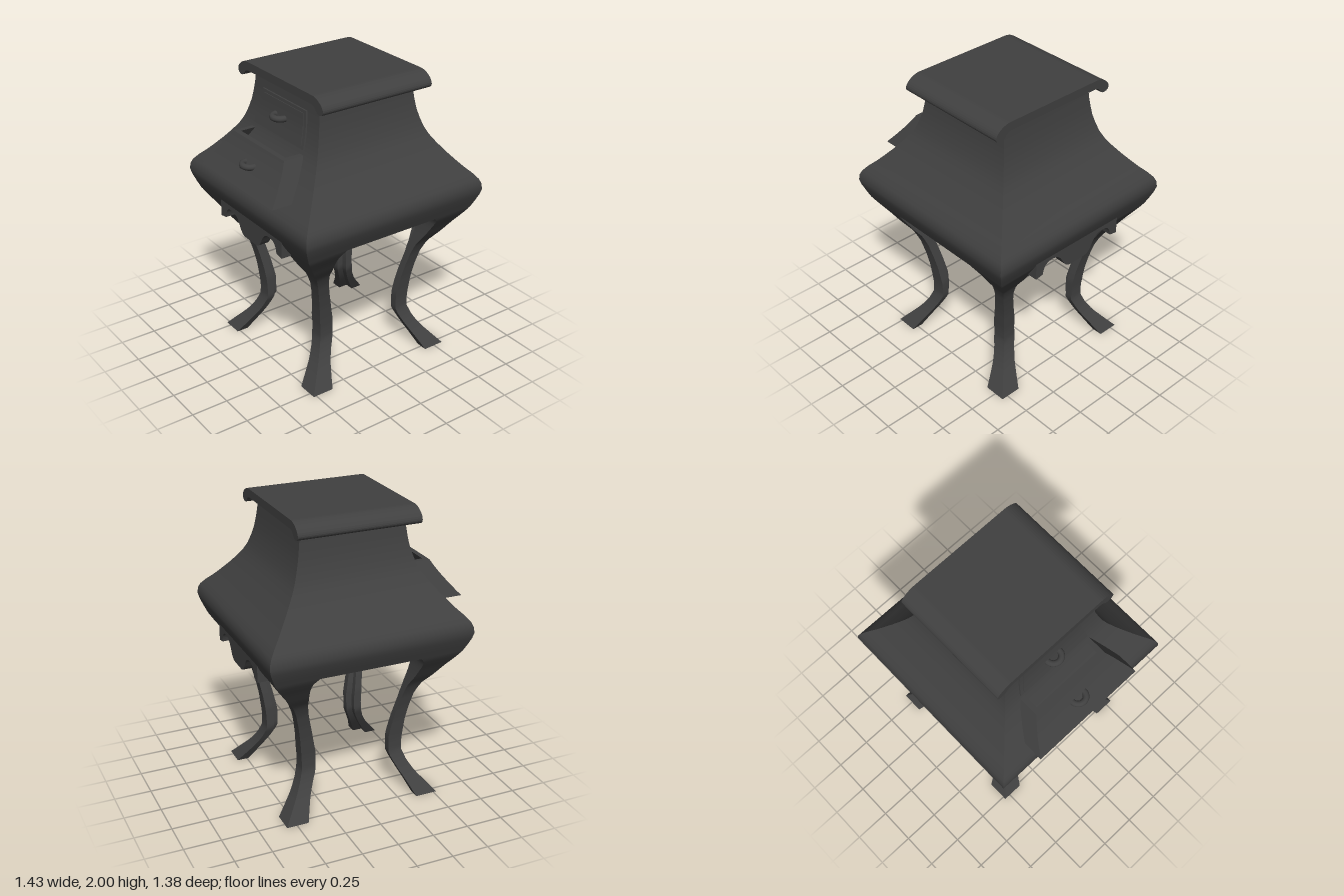
import * as THREE from 'three';

const CX = 0.025; // cabinet axis, offset by the open drawer
const material = new THREE.MeshStandardMaterial({ color: 0x404040 });

// Half-width of the outer silhouette by height, shared by body and legs
const OUTER = [[0, 0.545], [0.06, 0.495], [0.14, 0.43], [0.21, 0.39], [0.28, 0.365], [0.36, 0.363], [0.44, 0.37],
  [0.52, 0.378], [0.62, 0.395], [0.72, 0.418], [0.8, 0.45], [0.88, 0.51], [0.95, 0.555], [1.02, 0.605], [1.07, 0.638],
  [1.12, 0.66], [1.17, 0.68], [1.21, 0.69], [1.25, 0.685], [1.28, 0.672], [1.32, 0.64], [1.36, 0.6], [1.4, 0.565],
  [1.46, 0.515], [1.52, 0.47], [1.57, 0.437], [1.62, 0.412], [1.68, 0.392], [1.74, 0.376], [1.8, 0.366], [1.86, 0.358], [1.95, 0.35]];
// Inner leg edges, seen from the front (x) and from the side (z)
const INNER_X = [[0, 0.395], [0.1, 0.35], [0.18, 0.31], [0.27, 0.268], [0.4, 0.266], [0.55, 0.295], [0.7, 0.33],
  [0.9, 0.373], [0.98, 0.385], [1.03, 0.38], [1.06, 0.355], [1.07, 0.33], [1.12, 0.33]];
const INNER_Z = [[0, 0.4], [0.1, 0.35], [0.18, 0.31], [0.28, 0.27], [0.44, 0.274], [0.56, 0.298], [0.68, 0.325],
  [0.78, 0.335], [0.85, 0.326], [1, 0.302], [1.07, 0.28], [1.12, 0.28]];

function at(table, y) {
  let i = 1;
  while (i < table.length - 1 && table[i][0] < y) i++;
  const [y0, v0] = table[i - 1], [y1, v1] = table[i];
  return v0 + (v1 - v0) * (y - y0) / (y1 - y0);
}

const range = (a, b, n) => Array.from({ length: n + 1 }, (_, i) => a + (b - a) * i / n);

// Stack polygon rings [x, z] over heights: smooth along y, sharp at the corners
function loft(heights, ringAt) {
  const rings = heights.map((y) => {
    const r = ringAt(y);
    const area = r.reduce((s, p, i) => { const q = r[(i + 1) % r.length]; return s + p[0] * q[1] - q[0] * p[1]; }, 0);
    return area > 0 ? [r[0], ...r.slice(1).reverse()] : r;
  });
  const pos = [], idx = [], n = rings[0].length, last = rings.length - 1;
  for (let s = 0; s < n; s++) {
    const base = pos.length / 3;
    rings.forEach((r, j) => {
      for (const p of [r[s], r[(s + 1) % n]]) pos.push(p[0], heights[j], p[1]);
      if (j < last) {
        const a = base + j * 2;
        idx.push(a, a + 1, a + 3, a, a + 3, a + 2);
      }
    });
  }
  for (const j of [0, last]) {
    const base = pos.length / 3;
    rings[j].forEach((p) => pos.push(p[0], heights[j], p[1]));
    for (let i = 1; i < n - 1; i++) idx.push(base, base + (j ? i : i + 1), base + (j ? i + 1 : i));
  }
  const g = new THREE.BufferGeometry();
  g.setAttribute('position', new THREE.Float32BufferAttribute(pos, 3));
  g.setIndex(idx);
  g.computeVertexNormals();
  return g;
}

const rect = (x0, x1, z0, z1) => [[x0, z1], [x1, z1], [x1, z0], [x0, z0]];

// Extrude a (z, y) outline along x, centred on x = 0
function extrudeX(shape, width) {
  const g = new THREE.ExtrudeGeometry(shape, { depth: width, bevelEnabled: false, curveSegments: 10 });
  return g.translate(0, 0, -width / 2).rotateY(Math.PI / 2);
}

export function createModel() {
  const model = new THREE.Group();
  const add = (name, geometry, parent = model) => {
    const mesh = new THREE.Mesh(geometry, material);
    mesh.name = name;
    parent.add(mesh);
    return mesh;
  };

  // Flared square body
  const bodyHeights = OUTER.map((p) => p[0]).filter((y) => y >= 1.07);
  add('body', loft(bodyHeights, (y) => {
    const h = at(OUTER, y);
    return rect(CX - h, CX + h, -h, h);
  }));

  // Curved legs with a hollowed inner corner
  for (const sx of [-1, 1]) for (const sz of [-1, 1]) {
    add('leg', loft(range(0, 1.12, 36), (y) => {
      const o = at(OUTER, y) - (y > 1.07 ? 0.004 : 0), ix = at(INNER_X, y), iz = at(INNER_Z, y);
      const nx = ix + (o - ix) * 0.45, nz = iz + (o - iz) * 0.45;
      return [[nx, nz], [ix, nz], [ix, o], [o, o], [o, iz], [nx, iz]].map(([x, z]) => [CX + sx * x, sz * z]);
    }));
  }

  // Scalloped aprons on the two sides
  const apron = new THREE.Shape();
  apron.moveTo(0.36, 1.12);
  apron.lineTo(0.36, 0.98);
  apron.lineTo(0.302, 0.99);
  apron.bezierCurveTo(0.295, 1.05, 0.27, 1.07, 0.22, 1.07);
  apron.bezierCurveTo(0.12, 1.07, 0.14, 0.945, 0.06, 0.945);
  apron.lineTo(-0.06, 0.945);
  apron.bezierCurveTo(-0.14, 0.945, -0.12, 1.07, -0.22, 1.07);
  apron.bezierCurveTo(-0.27, 1.07, -0.295, 1.05, -0.302, 0.99);
  apron.lineTo(-0.36, 0.98);
  apron.lineTo(-0.36, 1.12);
  for (const s of [-1, 1]) add('sideApron', extrudeX(apron, 0.07)).position.x = CX + s * 0.615;

  // Top board with scrolled ends
  const top = new THREE.Shape();
  top.moveTo(-0.36, 2);
  top.lineTo(0.36, 2);
  top.bezierCurveTo(0.41, 2, 0.47, 1.96, 0.47, 1.925);
  top.bezierCurveTo(0.47, 1.895, 0.42, 1.885, 0.4, 1.91);
  top.quadraticCurveTo(0.38, 1.943, 0.35, 1.943);
  top.lineTo(-0.35, 1.943);
  top.quadraticCurveTo(-0.38, 1.943, -0.4, 1.91);
  top.bezierCurveTo(-0.42, 1.885, -0.47, 1.895, -0.47, 1.925);
  top.bezierCurveTo(-0.47, 1.96, -0.41, 2, -0.36, 2);
  add('topBoard', extrudeX(top, 0.825)).position.x = CX;

  // Pulled-out lower drawer following the body curve
  const drawer = new THREE.Group();
  drawer.name = 'openDrawer';
  drawer.position.z = -0.008;
  model.add(drawer);
  const face = (y) => CX - at(OUTER, y);
  const halfZ = (y) => 0.29 + (1.59 - y) / 0.23 * 0.125;
  const ys = range(1.36, 1.59, 6), wall = 0.035, pull = 0.14;
  add('drawerFront', loft(ys, (y) => rect(face(y) - pull, face(y) - pull + wall, -halfZ(y), halfZ(y))), drawer);
  for (const s of [-1, 1]) {
    add('drawerSide', loft(ys, (y) => rect(face(y) - pull + wall, face(y) + 0.02,
      ...[s * halfZ(y), s * (halfZ(y) - wall)].sort((a, b) => a - b))), drawer);
  }
  add('drawerFloor', loft([1.361, 1.39], (y) => rect(face(y) - pull + 0.01, face(y) + 0.02, 0.01 - halfZ(y), halfZ(y) - 0.01)), drawer);

  // Closed upper drawer: framed panel
  const upperZ = (y, inset) => 0.24 + (1.85 - y) * 0.18 - inset;
  for (const [name, y0, y1, inset, proud] of [['upperDrawerFrame', 1.62, 1.85, 0, 0.01], ['upperDrawerPanel', 1.64, 1.83, 0.025, 0.015]]) {
    add(name, loft(range(y0, y1, 6), (y) => {
      const z = upperZ(y, inset);
      return rect(face(y) - proud, face(y) + 0.03, -z, z);
    })).position.z = -0.008;
  }

  // Half-ring handles
  for (const [x, y] of [[-0.605, 1.48], [-0.375, 1.745]]) {
    const ring = new THREE.TorusGeometry(0.05, 0.021, 10, 20, Math.PI).rotateX(Math.PI / 2).rotateY(-Math.PI / 2);
    add('drawerHandle', ring).position.set(x, y, -0.005);
  }
  return model;
}
